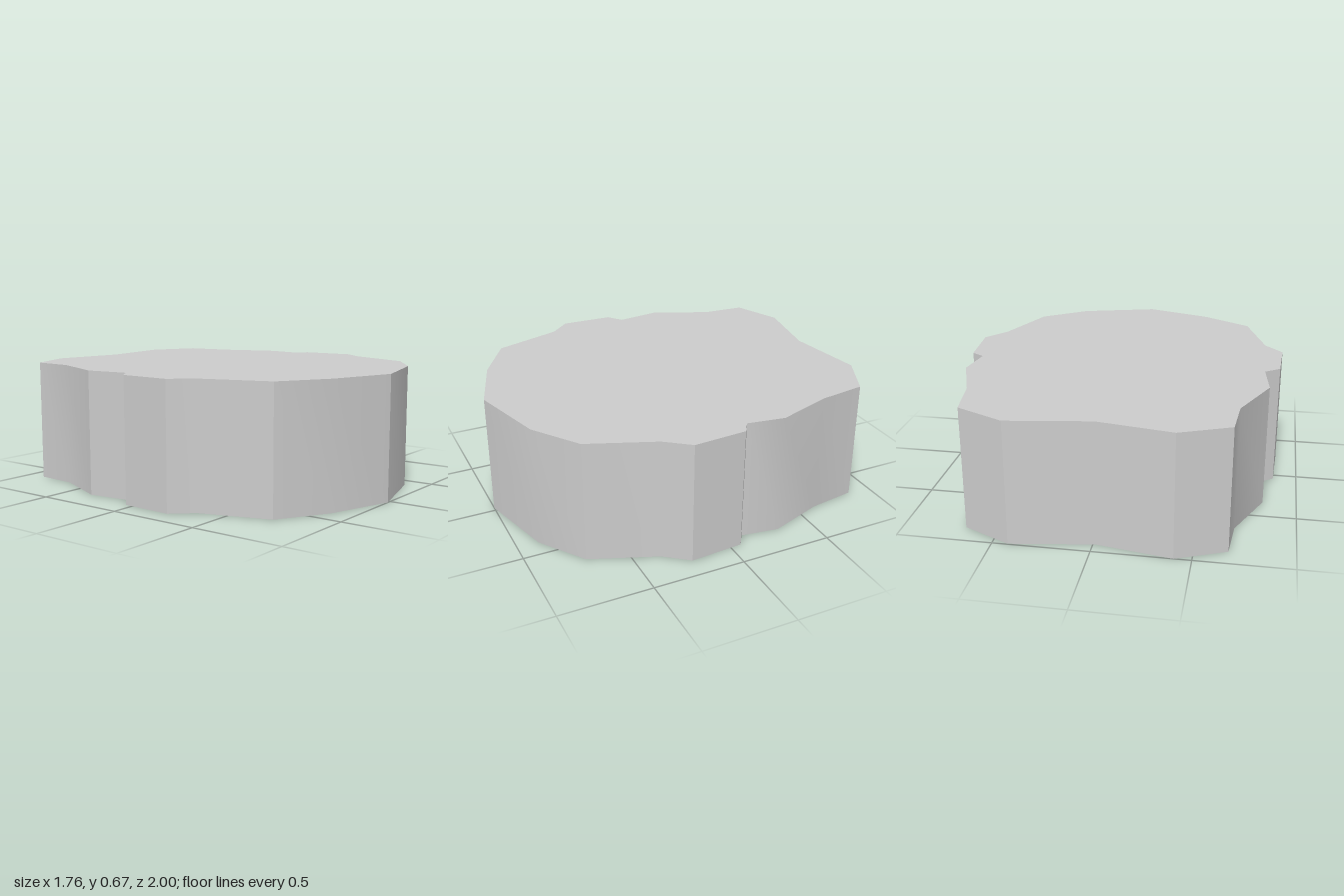
import * as THREE from 'three';
import { toCreasedNormals } from 'three/addons/utils/BufferGeometryUtils.js';

const HEIGHT = 0.665;

// Plan outline as [x, z], from the back notch around the left side to the front and back
const OUTLINE = [
  [-0.015, -0.93], [0.42, -0.995], [0.675, -0.87], [0.715, -0.61], [0.82, -0.31],
  [0.79, -0.105], [0.86, -0.06], [0.88, 0.23], [0.78, 0.36], [0.64, 0.715],
  [0.395, 0.885], [-0.025, 1], [-0.39, 0.88], [-0.66, 0.72], [-0.78, 0.35],
  [-0.88, 0.24], [-0.87, -0.045], [-0.79, -0.105], [-0.82, -0.345],
  [-0.685, -0.655], [-0.67, -0.89], [-0.41, -1],
];

export function createModel() {
  const group = new THREE.Group();
  group.name = 'slab';

  // Straight-sided block: outline extruded upwards, gentle corners smoothed
  const shape = new THREE.Shape(OUTLINE.map(([x, z]) => new THREE.Vector2(x, -z)));
  const solid = new THREE.ExtrudeGeometry(shape, { depth: HEIGHT, bevelEnabled: false });
  solid.rotateX(-Math.PI / 2);
  const geometry = toCreasedNormals(solid, THREE.MathUtils.degToRad(30));

  const block = new THREE.Mesh(geometry, new THREE.MeshStandardMaterial({ color: 0xcccccc }));
  block.name = 'block';
  group.add(block);
  return group;
}
